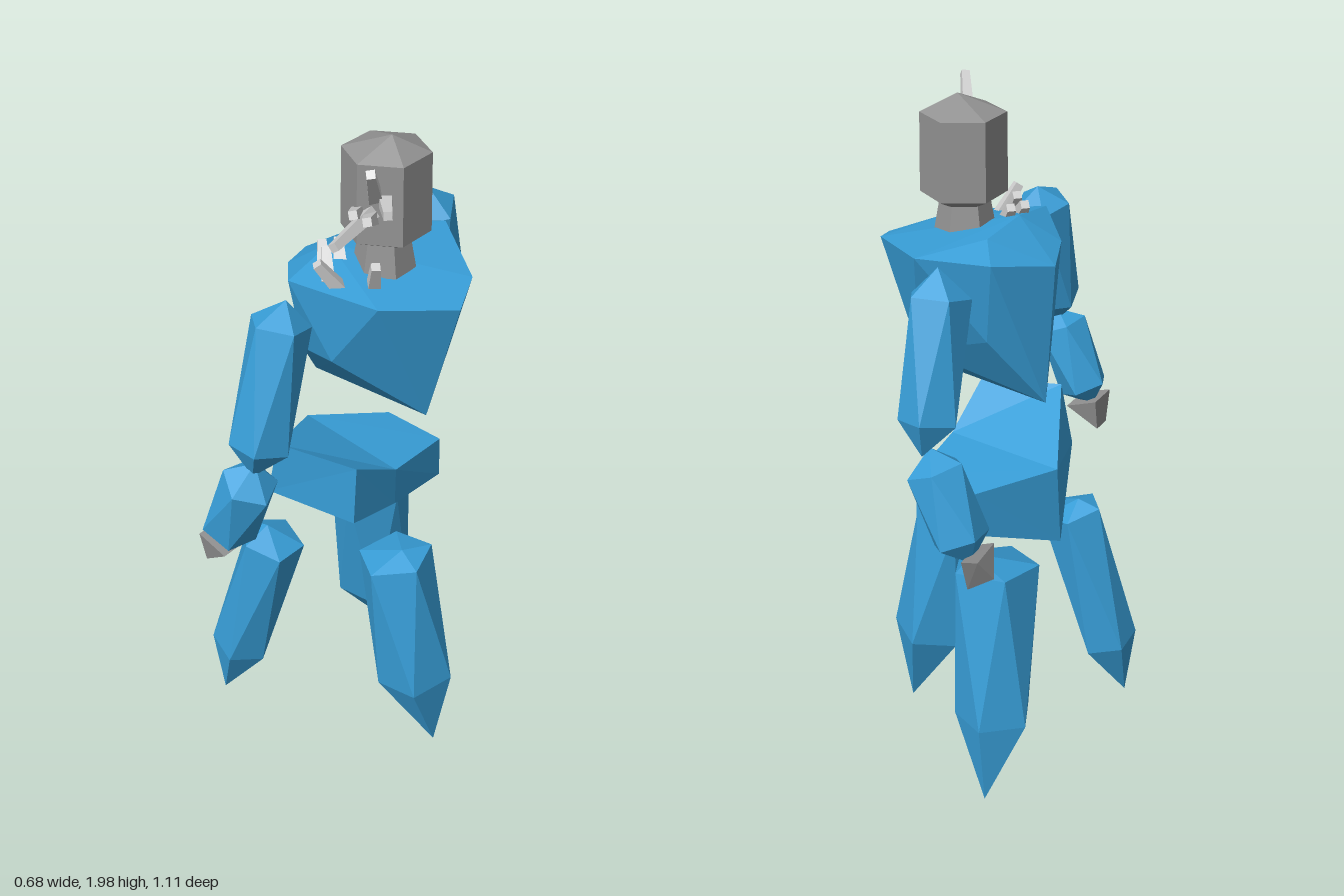
import * as THREE from 'three';
import { ConvexGeometry } from 'three/addons/geometries/ConvexGeometry.js';

const makeMaterial = (name, color) => {
  const m = new THREE.MeshStandardMaterial({ color, flatShading: true });
  m.name = name;
  return m;
};
const V = (p) => new THREE.Vector3(...p);

export function createModel() {
  const blue = makeMaterial('armour blue', 0x389fd9);
  const grey = makeMaterial('stone grey', 0x939393);
  const pale = makeMaterial('spike grey', 0xcfcfcf);
  const model = new THREE.Group();
  model.name = 'shardGolem';

  const add = (name, geometry, material) => {
    const mesh = new THREE.Mesh(geometry, material);
    mesh.name = name;
    model.add(mesh);
    return mesh;
  };
  const hull = (name, points, material) => add(name, new ConvexGeometry(points.map(V)), material);

  // Faceted crystal: apex, two staggered five-point rings square to the axis, tip
  const crystal = (name, apex, c1, r1, c2, r2, tip, phase) => {
    const axis = V(c2).sub(V(c1)).normalize();
    const u = new THREE.Vector3(1, 0, 0).addScaledVector(axis, -axis.x).normalize();
    const w = axis.clone().cross(u);
    const points = [V(apex), V(tip)];
    [[c1, r1, 0], [c2, r2, 0.5]].forEach(([c, r, turn]) => {
      for (let i = 0; i < 5; i++) {
        const a = phase + ((i + turn) / 5) * Math.PI * 2;
        points.push(V(c).addScaledVector(u, r * Math.cos(a)).addScaledVector(w, r * Math.sin(a)));
      }
    });
    add(name, new ConvexGeometry(points), blue);
  };

  // Tapered square spike between two points
  const spike = (name, from, to, r0, r1) => {
    const a = V(from), b = V(to), dir = b.clone().sub(a);
    const mesh = add(name, new THREE.CylinderGeometry(r1, r0, dir.length(), 4), pale);
    mesh.position.copy(a).add(b).multiplyScalar(0.5);
    mesh.quaternion.setFromUnitVectors(new THREE.Vector3(0, 1, 0), dir.normalize());
  };

  // Three legs
  crystal('sideLeg', [0.2, 0.755, 0.04], [0.175, 0.725, 0.04], 0.11, [0.24, 0.28, 0.015], 0.115, [0.3, 0.01, -0.01], 0.3);
  crystal('frontLeg', [-0.16, 0.765, 0.21], [-0.14, 0.725, 0.21], 0.092, [-0.26, 0.27, 0.245], 0.09, [-0.31, 0.07, 0.28], 0.6);
  crystal('rearLeg', [-0.08, 0.82, -0.27], [-0.1, 0.745, -0.185], 0.125, [-0.135, 0.27, -0.245], 0.115, [-0.15, 0.02, -0.33], 0.2);

  // Pelvis: saddle lofted through three sections
  const sections = [
    [[0.15, 1.1, 0.18], [0.14, 0.91, 0.18], [-0.12, 0.93, 0.24], [-0.08, 1.11, 0.24]],
    [[0.15, 1.0, 0.01], [0.14, 0.87, 0], [-0.21, 0.75, 0], [-0.21, 1.0, -0.03]],
    [[0.135, 0.975, -0.21], [0.13, 0.84, -0.22], [-0.05, 0.84, -0.22], [-0.06, 0.975, -0.22]],
  ];
  const index = [0, 2, 1, 0, 3, 2, 8, 9, 10, 8, 10, 11];
  for (let s = 0; s < 2; s++) {
    for (let j = 0; j < 4; j++) {
      const a = s * 4 + j, b = s * 4 + ((j + 1) % 4);
      index.push(a, b, b + 4, a, b + 4, a + 4);
    }
  }
  const loft = new THREE.BufferGeometry();
  loft.setAttribute('position', new THREE.Float32BufferAttribute(sections.flat(2), 3));
  loft.setIndex(index);
  const pelvis = loft.toNonIndexed();
  pelvis.computeVertexNormals();
  add('pelvis', pelvis, blue);

  // Torso: broad shoulders narrowing to a keel
  hull('torso', [
    [-0.175, 1.58, 0], [-0.13, 1.6, 0.12], [-0.02, 1.64, 0.24], [0.21, 1.61, 0.17],
    [0.335, 1.58, 0], [0.29, 1.61, -0.11], [0.09, 1.64, -0.26], [-0.08, 1.62, -0.17],
    [-0.03, 1.67, 0.07], [-0.03, 1.66, -0.1],
    [0.08, 1.42, 0.195], [-0.03, 1.41, 0.18], [0.15, 1.33, -0.155], [-0.06, 1.4, -0.155],
    [0.24, 1.22, 0], [-0.165, 1.19, -0.02],
  ], blue);

  // Arms
  crystal('frontUpperArm', [0.055, 1.655, 0.33], [0.055, 1.6, 0.355], 0.08, [0.055, 1.28, 0.443], 0.08, [0.05, 1.2, 0.47], 0.4);
  crystal('frontForearm', [0.05, 1.235, 0.46], [0.045, 1.18, 0.475], 0.076, [-0.04, 0.99, 0.475], 0.076, [-0.07, 0.94, 0.475], 0.2);
  crystal('rearUpperArm', [-0.03, 1.67, -0.34], [-0.04, 1.6, -0.355], 0.082, [-0.06, 1.3, -0.44], 0.08, [-0.06, 1.22, -0.48], 0.1);
  crystal('rearForearm', [-0.07, 1.24, -0.46], [-0.09, 1.185, -0.465], 0.076, [-0.17, 1.01, -0.48], 0.078, [-0.2, 0.95, -0.48], 0.5);

  // Wedge hands
  hull('frontHand', [
    [-0.1, 0.97, 0.43], [-0.1, 0.97, 0.53], [-0.01, 0.94, 0.42], [-0.01, 0.94, 0.53],
    [-0.1, 0.87, 0.45], [-0.1, 0.87, 0.51],
  ], grey);
  hull('rearHand', [
    [-0.25, 1.01, -0.45], [-0.17, 0.95, -0.4], [-0.25, 0.9, -0.45],
    [-0.2, 0.98, -0.53], [-0.2, 0.88, -0.5], [-0.23, 0.97, -0.5],
  ], grey);

  // Neck and six-sided head
  const neck = add('neck', new THREE.CylinderGeometry(0.062, 0.082, 0.11, 6), grey);
  neck.position.set(0.1, 1.685, 0.01);
  const headPoints = [[0.12, 1.99, 0.01]];
  [[1.945, 0.112], [1.735, 0.115], [1.71, 0.065]].forEach(([y, r]) => {
    for (let i = 0; i < 6; i++) {
      const a = (i / 6) * Math.PI * 2;
      headPoints.push([0.1 + r * Math.sin(a), y, 0.005 + r * Math.cos(a)]);
    }
  });
  hull('head', headPoints, grey);

  // Spikes on the face
  [
    [[0.12, 1.84, 0.07], [0.21, 1.985, 0.2]],
    [[0.14, 1.85, 0.06], [0.23, 1.87, 0.16]],
    [[0.12, 1.82, 0.06], [0.16, 1.81, 0.275]],
    [[0.11, 1.79, 0.07], [0.2, 1.86, 0.2]],
    [[0.08, 1.8, 0.08], [0.14, 1.85, 0.18]],
  ].forEach(([a, b], i) => spike('faceSpike' + (i + 1), a, b, 0.025, 0.015));

  // Short spikes on the shoulder
  [
    [[0.02, 1.64, 0.09], [-0.01, 1.69, 0.06]],
    [[0.01, 1.64, 0.14], [-0.03, 1.69, 0.1]],
    [[0.05, 1.63, 0.17], [0.01, 1.7, 0.13]],
    [[0.08, 1.62, 0.16], [0.05, 1.7, 0.21]],
    [[0.14, 1.62, 0.1], [0.17, 1.7, 0.13]],
  ].forEach(([a, b], i) => spike('shoulderSpike' + (i + 1), a, b, 0.024, 0.016));

  return model;
}
